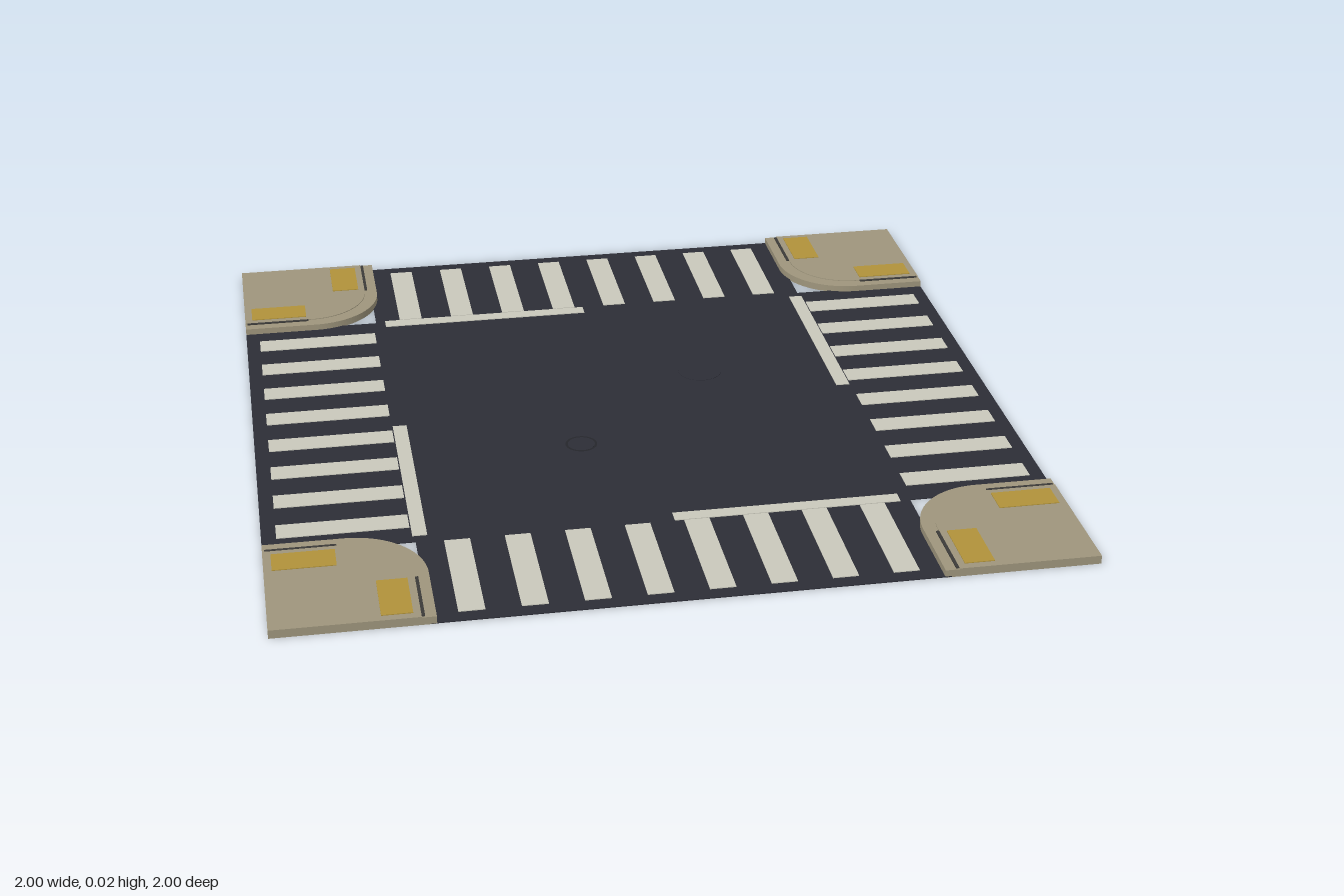
import * as THREE from 'three';

const mat = (name, color) => Object.assign(new THREE.MeshStandardMaterial({ color }), { name });

export function createModel() {
  const asphalt = mat('asphalt', 0x2c2d36);
  const concrete = mat('concrete', 0x9e957c);
  const paint = mat('road paint', 0xc9c8bb);
  const yellow = mat('tactile yellow', 0xb0923a);
  const dark = mat('dark joint', 0x3b3a38);
  const iron = mat('cast iron', 0x25262b);
  const model = new THREE.Group();
  model.name = 'crossroads';

  function add(parent, name, geometry, material, x = 0, y = 0, z = 0) {
    const mesh = new THREE.Mesh(geometry, material);
    mesh.name = name;
    mesh.position.set(x, y, z);
    parent.add(mesh);
    return mesh;
  }
  // Flat slab between two heights, from an outline in x and z
  function slab(shape, bottom, top) {
    const g = new THREE.ExtrudeGeometry(shape, { depth: top - bottom, bevelEnabled: false, curveSegments: 16 });
    return g.rotateX(Math.PI / 2).translate(0, top, 0);
  }
  // Thin plate from its x and z limits
  function plate(parent, name, material, x0, x1, z0, z1, bottom, top) {
    add(parent, name, new THREE.BoxGeometry(x1 - x0, top - bottom, z1 - z0), material,
      (x0 + x1) / 2, (bottom + top) / 2, (z0 + z1) / 2);
  }
  // Pavement corner with one rounded kerb
  function cornerShape(inner, radius) {
    const c = inner + radius;
    const s = new THREE.Shape();
    s.moveTo(1, 1);
    s.lineTo(inner, 1);
    s.lineTo(inner, c);
    s.absarc(c, c, radius, Math.PI, Math.PI * 1.5, false);
    s.lineTo(1, inner);
    s.closePath();
    return s;
  }

  // Cross-shaped road
  const w = 0.626;
  const cross = new THREE.Shape([
    [w, 1], [-w, 1], [-w, w], [-1, w], [-1, -w], [-w, -w],
    [-w, -1], [w, -1], [w, -w], [1, -w], [1, w], [w, w],
  ].map(([x, z]) => new THREE.Vector2(x, z)));
  add(model, 'road', slab(cross, 0.0005, 0.003), asphalt);

  for (let i = 0; i < 4; i++) {
    const side = new THREE.Group();
    side.name = 'roadSide' + (i + 1);
    side.rotation.y = i * Math.PI / 2;
    model.add(side);

    // Zebra crossing and stop line
    for (let k = 0; k < 8; k++) {
      const x = -0.525 + k * 0.15;
      plate(side, 'crossingStripe', paint, x - 0.032, x + 0.032, 0.635, 0.963, 0.003, 0.005);
    }
    plate(side, 'stopLine', paint, 0.02, 0.6, 0.595, 0.632, 0.003, 0.005);

    // Pavement corner, slightly raised inside its kerb
    add(side, 'kerb', slab(cornerShape(0.61, 0.19), 0, 0.02), concrete);
    add(side, 'pavement', slab(cornerShape(0.645, 0.165), 0.018, 0.022), concrete);

    // Joints beside the kerb and tactile pads
    plate(side, 'kerbJoint', dark, 0.637, 0.645, 0.82, 0.995, 0.02, 0.0225);
    plate(side, 'kerbJoint', dark, 0.82, 0.995, 0.637, 0.645, 0.02, 0.0225);
    plate(side, 'tactilePad', yellow, 0.663, 0.738, 0.825, 0.98, 0.022, 0.024);
    plate(side, 'tactilePad', yellow, 0.825, 0.98, 0.663, 0.738, 0.022, 0.024);
  }

  // Manhole cover with rim, and a round asphalt patch
  add(model, 'manholeCover', new THREE.CylinderGeometry(0.036, 0.036, 0.002, 24), asphalt, -0.15, 0.004, 0.2);
  add(model, 'manholeRim', new THREE.RingGeometry(0.036, 0.042, 24).rotateX(-Math.PI / 2), iron, -0.15, 0.0048, 0.2);
  add(model, 'roadPatch', new THREE.CylinderGeometry(0.06, 0.06, 0.001, 24), asphalt, 0.24, 0.0035, -0.17);
  return model;
}
